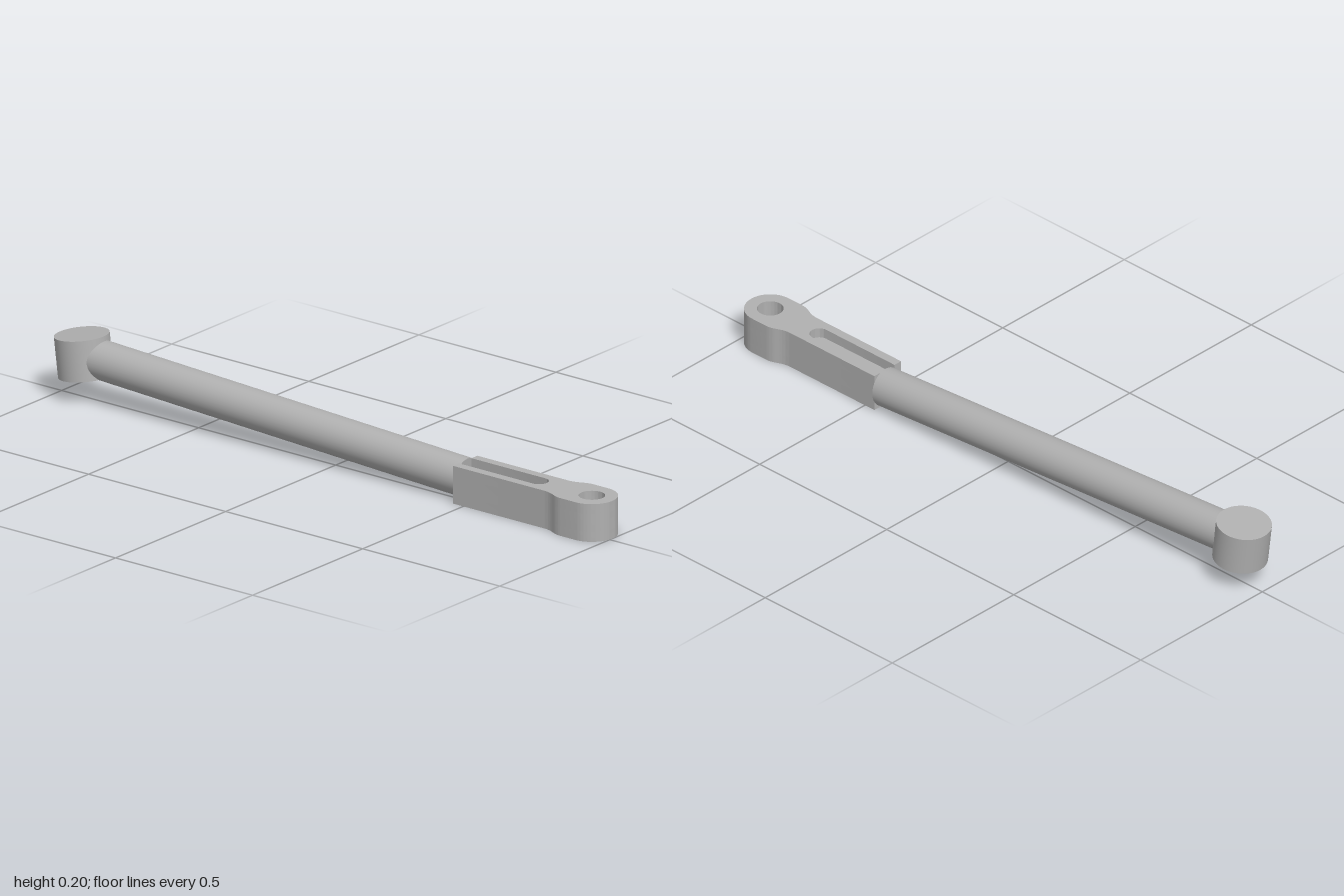
import * as THREE from 'three';
import { toCreasedNormals } from 'three/addons/utils/BufferGeometryUtils.js';

const gray = new THREE.MeshStandardMaterial({ color: 0xb0b0b0 });
gray.name = 'plain gray';

// Plan outline of the fork end; y of the shape points towards -z.
function forkShape(slotted) {
  const s = new THREE.Shape();
  const back = -0.463, eye = -0.925;
  s.moveTo(-0.075, eye);
  s.absarc(0, eye, 0.075, Math.PI, Math.PI * 2, false);
  s.lineTo(0.075, -0.875);
  s.bezierCurveTo(0.075, -0.835, 0.055, -0.835, 0.055, -0.79);
  s.lineTo(0.055, back);
  if (slotted) {
    s.lineTo(0.028, back);
    s.lineTo(0.028, -0.732);
    s.absarc(0, -0.732, 0.028, 0, -Math.PI, true);
    s.lineTo(-0.028, back);
  }
  s.lineTo(-0.055, back);
  s.lineTo(-0.055, -0.79);
  s.bezierCurveTo(-0.055, -0.835, -0.075, -0.835, -0.075, -0.875);
  s.closePath();
  const hole = new THREE.Path();
  hole.absarc(0, eye, 0.038, 0, Math.PI * 2, true);
  s.holes.push(hole);
  return s;
}

// One horizontal layer of the fork end.
function forkLayer(name, slotted, y0, y1) {
  const geo = new THREE.ExtrudeGeometry(forkShape(slotted), {
    depth: y1 - y0, bevelEnabled: false, curveSegments: 24,
  });
  geo.rotateX(-Math.PI / 2);
  const mesh = new THREE.Mesh(toCreasedNormals(geo, 0.6), gray);
  mesh.position.set(0.012, y0, 0);
  mesh.name = name;
  return mesh;
}

export function createModel() {
  const model = new THREE.Group();
  model.name = 'linkRod';

  // Fork end: solid web between two slotted layers, with a pin hole through all
  const fork = new THREE.Group();
  fork.name = 'eyeEnd';
  fork.add(
    forkLayer('lowerSlotLayer', true, 0.003, 0.033),
    forkLayer('web', false, 0.033, 0.087),
    forkLayer('upperSlotLayer', true, 0.087, 0.117),
  );
  model.add(fork);

  // Slanted round rod
  const a = new THREE.Vector3(0.022, 0.063, 0.46);
  const b = new THREE.Vector3(-0.01, 0.135, -0.88);
  const dir = b.clone().sub(a);
  const rod = new THREE.Mesh(new THREE.CylinderGeometry(0.058, 0.058, dir.length(), 32), gray);
  rod.position.copy(a).add(b).multiplyScalar(0.5);
  rod.quaternion.setFromUnitVectors(new THREE.Vector3(0, 1, 0), dir.normalize());
  rod.name = 'rod';
  model.add(rod);

  // Tilted solid boss at the rear
  const boss = new THREE.Mesh(new THREE.CylinderGeometry(0.08, 0.08, 0.121, 48), gray);
  boss.position.set(-0.01, 0.135, -0.911);
  boss.rotation.x = -0.127;
  boss.name = 'rearBoss';
  model.add(boss);

  return model;
}
